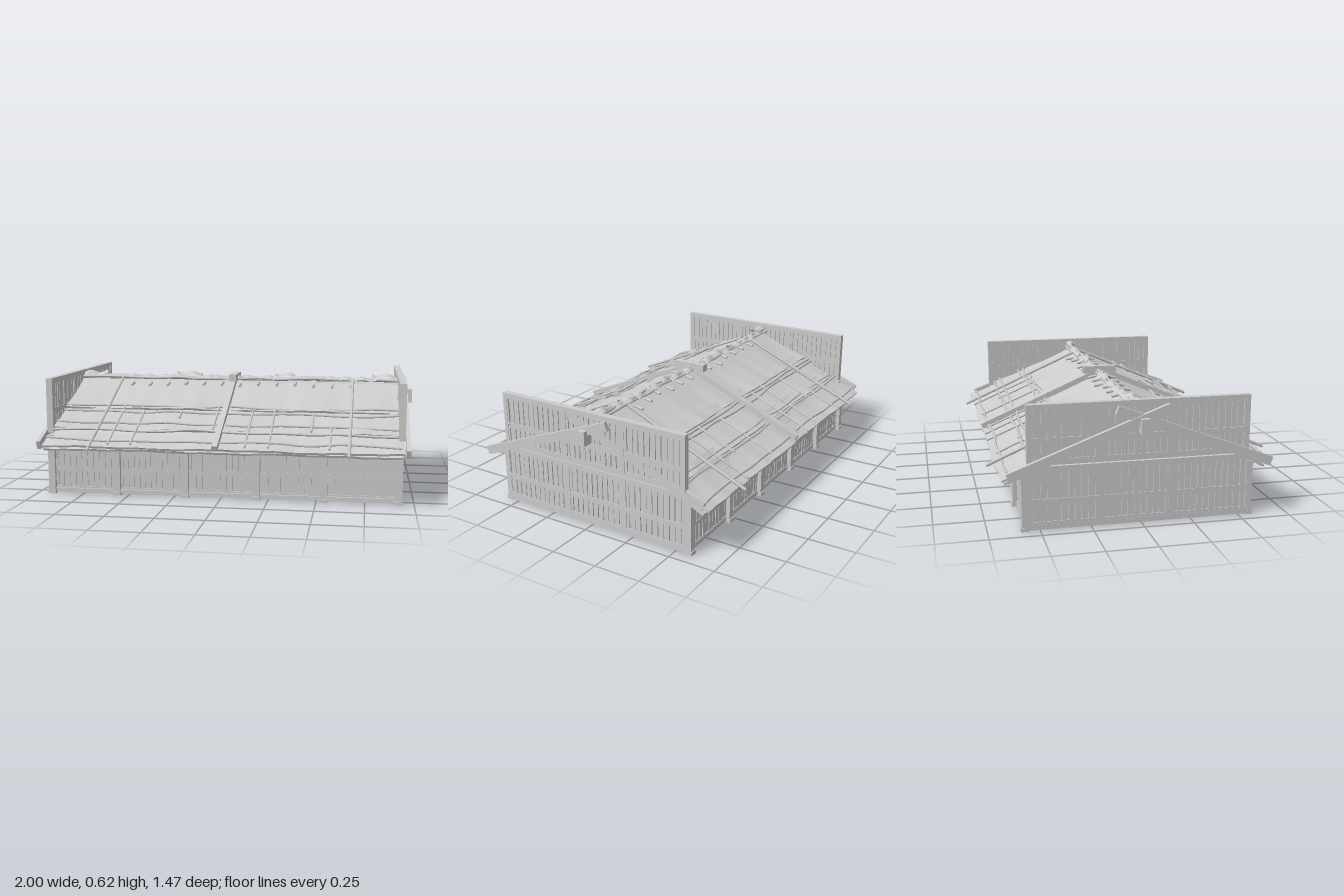
import * as THREE from 'three';

const mat = new THREE.MeshStandardMaterial({ color: 0xcccccc, side: THREE.DoubleSide });
let seed = 7;
const rnd = (a = 0, b = 1) => {
  seed = (seed * 16807) % 2147483647;
  return a + (b - a) * (seed / 2147483647);
};

function add(parent, name, geo, x = 0, y = 0, z = 0) {
  const m = new THREE.Mesh(geo, mat);
  m.name = name;
  m.position.set(x, y, z);
  parent.add(m);
  return m;
}
const box = (parent, name, w, h, d, x, y, z) => add(parent, name, new THREE.BoxGeometry(w, h, d), x, y, z);
function group(parent, name) {
  const g = new THREE.Group();
  g.name = name;
  parent.add(g);
  return g;
}

// Slatted wall in the local xy plane: stiles at xs, rails at ys, upright boards of uneven depth in each bay
function panelWall(parent, name, xs, ys, t, rail) {
  const g = group(parent, name);
  const x0 = xs[0], x1 = xs[xs.length - 1], y0 = ys[0], y1 = ys[ys.length - 1];
  box(g, 'backing', x1 - x0, y1 - y0, t * 0.35, (x0 + x1) / 2, (y0 + y1) / 2, 0);
  ys.forEach((y, i) => {
    const off = i === 0 ? rail / 2 : i === ys.length - 1 ? -rail / 2 : 0;
    box(g, 'rail', x1 - x0, rail, t, (x0 + x1) / 2, y + off, 0);
  });
  xs.forEach((x, i) => {
    const off = i === 0 ? rail / 2 : i === xs.length - 1 ? -rail / 2 : 0;
    box(g, 'stile', rail, y1 - y0, t * 1.06, x + off, (y0 + y1) / 2, 0);
  });
  for (let i = 0; i < xs.length - 1; i++) for (let j = 0; j < ys.length - 1; j++) {
    const n = Math.round((xs[i + 1] - xs[i]) / 0.032);
    const pitch = (xs[i + 1] - xs[i]) / n, h = ys[j + 1] - ys[j];
    for (let k = 0; k < n; k++) {
      box(g, 'slat', pitch - rnd(0.002, 0.008), h, t * rnd(0.68, 0.92),
        xs[i] + pitch * (k + 0.5), (ys[j] + ys[j + 1]) / 2, 0);
    }
  }
  return g;
}

const PITCH = Math.atan(0.43), K = 1 / Math.cos(PITCH);
const RIDGE = 0.562;

// Sagging sheet lying on the slope between two distances from the ridge
function sheet(parent, z0, z1, lift, phase) {
  const len = (z1 - z0) * K;
  const g = new THREE.BoxGeometry(1.84, 0.012, len, 90, 1, 10);
  const p = g.attributes.position;
  for (let i = 0; i < p.count; i++) {
    const x = p.getX(i), f = p.getZ(i) / len + 0.5;
    const wave = Math.sin(x * 8 + phase) * 0.5 + Math.sin(x * 19 + phase * 3) * 0.35 + Math.sin(x * 43 + phase) * 0.2;
    const z = z0 + f * (z1 - z0);
    p.setX(i, x * (z > 0.56 ? 1.025 : 1));
    p.setY(i, p.getY(i) + lift * f + wave * 0.012 * f - 0.008 * Math.sin(f * Math.PI));
    p.setZ(i, p.getZ(i) + (z0 + z1) / 2 * K + wave * 0.01 * f * f);
  }
  g.computeVertexNormals();
  add(parent, 'roofSheet', g);
}

// Slightly crooked pole through evenly spaced points
function pole(parent, name, a, b, r, bend = 0.006, n = 7) {
  const A = new THREE.Vector3(...a), B = new THREE.Vector3(...b), pts = [];
  for (let i = 0; i <= n; i++) {
    pts.push(A.clone().lerp(B, i / n).add(new THREE.Vector3(rnd(-bend, bend) * 0.4, rnd(-bend, bend) * 0.6, rnd(-bend, bend))));
  }
  const curve = new THREE.CatmullRomCurve3(pts);
  add(parent, name, new THREE.TubeGeometry(curve, n * 3, r, 6));
  for (const [v, t] of [[A, 0], [B, 1]]) {
    const cap = add(parent, name + 'End', new THREE.CircleGeometry(r, 6), ...curve.getPoint(t).toArray());
    cap.lookAt(curve.getPoint(t).add(curve.getTangent(t).multiplyScalar(t ? 1 : -1)));
  }
}

function roofSlope(parent, back) {
  const turn = group(parent, back ? 'backRoof' : 'frontRoof');
  turn.rotation.y = back ? Math.PI : 0;
  const g = group(turn, 'slope');
  g.position.y = RIDGE;
  g.rotation.x = PITCH;
  const eave = back ? 0.685 : 0.655;
  sheet(g, 0.5, eave - 0.01, -0.03, 5 + back);
  sheet(g, 0.45, eave, -0.006, 1 + back * 2);
  sheet(g, 0.26, 0.51, 0.006, 2.3 + back);
  sheet(g, -0.01, 0.31, 0.008, 4 + back);
  // battens along the slope's length
  for (const z of back ? [0.33, 0.355, 0.49, 0.525, 0.645] : [0.29, 0.345, 0.455, 0.52, 0.61]) {
    pole(g, 'batten', [-0.93, 0.014, z * K], [0.93, 0.014, z * K], 0.007, 0.009, 12);
  }
  // long rafters and short sticks running down the slope
  const s = back ? -1 : 1;
  for (const x of back ? [-0.7, 0.66] : [-0.67, 0.67]) {
    pole(g, 'outerRafter', [x * s, 0.027, 0], [x * s, 0.02, 0.72 * K], 0.009, 0.002);
  }
  box(g, 'middleRafter', 0.03, 0.03, 0.68 * K, -0.01 * s, 0.024, 0.34 * K);
  const sticks = back
    ? [[-0.57, 0.5, 0.66], [-0.49, 0.32, 0.54], [-0.29, 0.31, 0.68], [-0.16, 0.32, 0.68], [-0.06, 0.33, 0.66], [0.25, 0.34, 0.66], [0.44, 0.32, 0.54], [0.56, 0.32, 0.68]]
    : [[-0.58, 0.29, 0.65], [-0.46, 0.34, 0.65], [-0.25, 0.33, 0.4], [-0.05, 0.29, 0.5], [0.14, 0.33, 0.65], [0.26, 0.3, 0.65], [0.47, 0.33, 0.5], [0.57, 0.46, 0.65]];
  for (const [x, a, b] of sticks) pole(g, 'stick', [x * s, 0.016, a * K], [x * s, 0.016, b * K], 0.006, 0.002, 4);
  // pegs poking through beside the ridge
  for (let x = -0.6; x < 0.66; x += 0.105) {
    const peg = add(g, 'ridgePeg', new THREE.CylinderGeometry(0.008, 0.008, 0.05, 6), x, 0.012, rnd(0.035, 0.07));
    peg.rotation.x = 1.35;
  }
}

// Ragged capping mats and thin poles along the ridge
function ridge(parent) {
  const g = group(parent, 'ridgeCap');
  for (const [y, z] of [[0.576, -0.035], [0.582, -0.005], [0.588, -0.02]]) {
    pole(g, 'ridgePole', [-0.92, y, z], [0.92, y, z], 0.008, 0.008, 16);
  }
  for (let i = 0; i < 16; i++) {
    const x = -0.84 + i * 0.112, w = rnd(0.1, 0.17), ph = rnd(0, 6);
    const m = new THREE.PlaneGeometry(w, 0.06, 8, 4).rotateX(-Math.PI / 2);
    const p = m.attributes.position;
    for (let k = 0; k < p.count; k++) {
      const px = p.getX(k), pz = p.getZ(k);
      p.setY(k, 0.008 - Math.abs(pz) * 0.5 + Math.sin(px * 60 + ph) * 0.007);
      p.setZ(k, pz * (0.7 + 0.3 * Math.sin(px * 45 + ph)));
    }
    m.computeVertexNormals();
    add(g, 'ridgeMat', m, x, 0.588 + (i % 5 === 0 ? 0.018 : 0), -0.02 + rnd(-0.01, 0.01));
  }
  box(g, 'ridgeClamp', 0.04, 0.04, 0.19, -0.01, 0.592, -0.01);
}

// Sloping gable board; s is the slope (+1 front, -1 back)
function gableBoard(parent, x, s) {
  const dz = 0.785, dy = 0.3;
  const b = box(parent, 'gableBoard', 0.022, 0.046, Math.hypot(dz, dy), x, 0.43, s * 0.262);
  b.rotation.x = s * Math.atan2(dy, dz);
}

export function createModel() {
  const model = new THREE.Group();
  model.name = 'longhouse';
  const postX = [-0.92, -0.56, -0.19, 0.19, 0.54, 0.92];

  // floor boards over a grid of beams
  const floor = group(model, 'floor');
  box(floor, 'floorBase', 1.84, 0.008, 1.1, 0, 0.038, 0);
  for (let i = 0; i < 44; i++) box(floor, 'floorBoard', 1.84, rnd(0.006, 0.011), 0.021, 0, 0.032, -0.5375 + i * 0.025);
  for (const x of postX) box(floor, 'crossBeam', 0.04, 0.026, 1.12, x, 0.02, 0);
  for (const z of [-0.55, -0.19, 0.17, 0.54]) box(floor, 'longBeam', 1.86, 0.022, 0.04, 0, 0.021, z);

  // long walls with their posts
  for (const s of [-1, 1]) {
    const side = s > 0 ? 'front' : 'back';
    const z = s > 0 ? 0.535 : -0.555;
    const wall = panelWall(model, side + 'Wall', postX, [0.015, 0.135, 0.31], 0.026, 0.022);
    wall.position.z = z;
    for (const x of postX) {
      box(model, side + 'Post', 0.036, 0.275, 0.034, x, 0.145, z + s * 0.016);
      box(model, side + 'PostFoot', 0.042, 0.02, 0.04, x, 0.012, z + s * 0.018);
      box(model, side + 'PostCap', 0.044, 0.02, 0.038, x, 0.272, z + s * 0.017);
    }
  }

  // end walls: a lower and an upper tier, gable boards and pegs
  for (const s of [-1, 1]) {
    const end = group(model, s > 0 ? 'leftEnd' : 'rightEnd');
    const low = panelWall(end, 'lowerEndWall', [-0.565, -0.15, 0.2, 0.565], [0.018, 0.145, 0.32], 0.028, 0.028);
    const high = panelWall(end, 'upperEndWall', [-0.54, -0.15, 0.2, 0.56], [0.328, 0.445, 0.622], 0.028, 0.03);
    for (const w of [low, high]) w.rotation.y = Math.PI / 2;
    low.position.x = s * 0.925;
    high.position.x = s * 0.932;
    box(end, 'topRail', 0.034, 0.018, 1.1, s * 0.932, 0.613, -0.01);
    for (const z of [-0.55, 0.53]) box(end, 'cornerPost', 0.034, 0.29, 0.02, s * 0.932, 0.475, z);
    gableBoard(end, s * 0.962, s);
    gableBoard(end, s > 0 ? 0.932 : -0.956, -s);
    box(end, 'ridgeBeamEnd', 0.08, 0.075, 0.04, s * 0.96, 0.5, 0);
  }

  roofSlope(model, 0);
  roofSlope(model, 1);
  ridge(model);
  return model;
}
